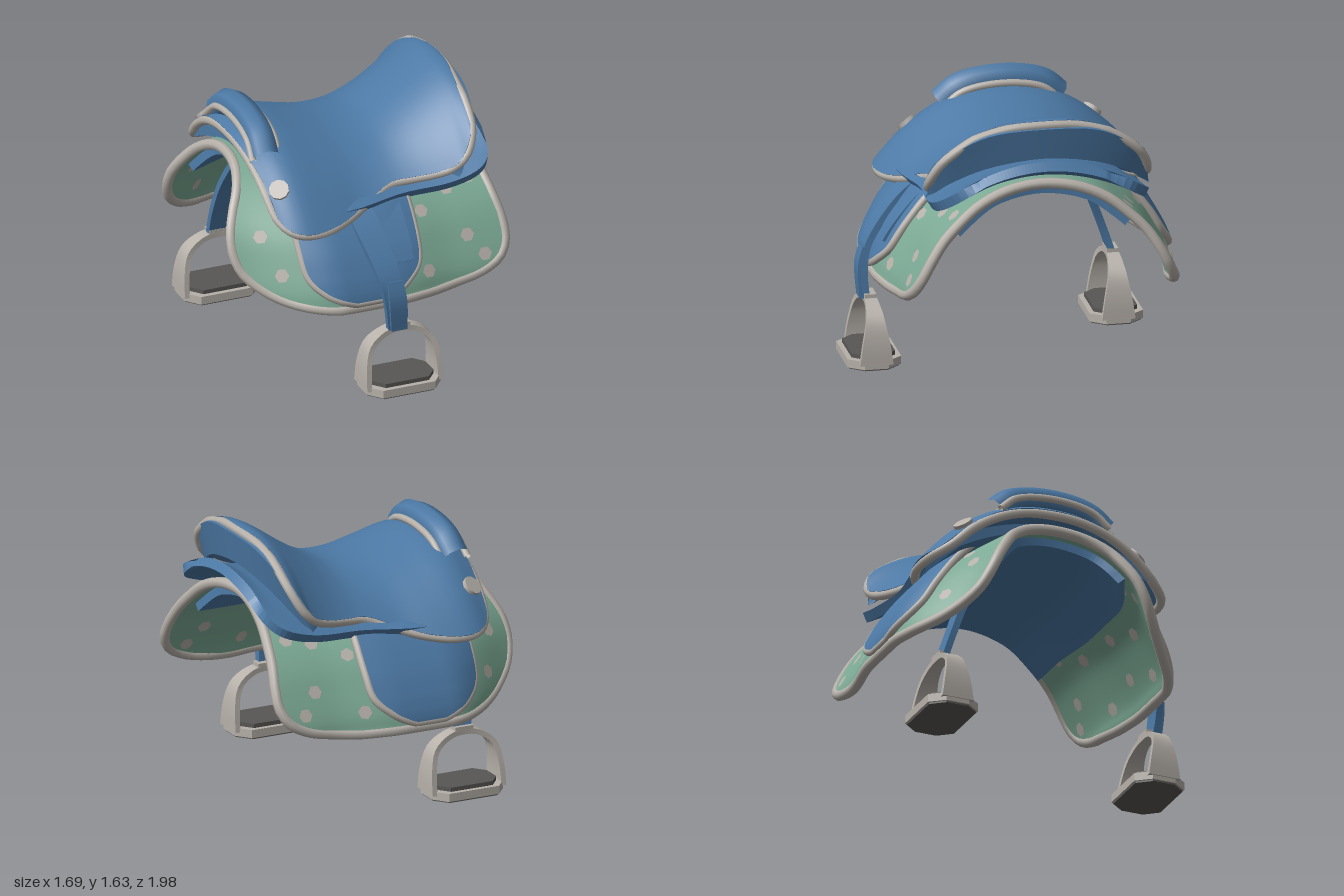
import * as THREE from 'three';

const mat = (name, color, side = THREE.FrontSide) => {
  const m = new THREE.MeshStandardMaterial({ color, side });
  m.name = name;
  return m;
};

// Smooth interpolation through rows of numbers, t in 0..1
function spline(rows) {
  return (t) => {
    const n = rows.length - 1, f = Math.min(Math.max(t, 0), 1) * n;
    const i = Math.min(Math.floor(f), n - 1), k = f - i;
    const a = rows[Math.max(i - 1, 0)], b = rows[i], c = rows[i + 1], d = rows[Math.min(i + 2, n)];
    return b.map((_, j) => {
      const m0 = (c[j] - a[j]) / 2, m1 = (d[j] - b[j]) / 2, e = c[j] - b[j];
      return b[j] + k * m0 + k * k * (3 * e - 2 * m0 - m1) + k * k * k * (m0 + m1 - 2 * e);
    });
  };
}

// Rows whose first entry is z, mirrored across z = 0
const mirrored = (rows) => [...rows.slice(1).reverse().map(([z, ...r]) => [-z, ...r]), ...rows];
const V = (x, y, z) => new THREE.Vector3(x, y, z);
const { lerp, smoothstep } = THREE.MathUtils;

function normalAt(fn, u, v) {
  const e = 0.004, c = (t) => Math.min(Math.max(t, 0), 1);
  const du = fn(c(u + e), v).sub(fn(c(u - e), v)), dv = fn(u, c(v + e)).sub(fn(u, c(v - e)));
  return dv.cross(du).normalize();
}
const offset = (fn, d) => (u, v) => fn(u, v).addScaledVector(normalAt(fn, u, v), d);

// Grid corners walked around the edge of a patch
function perimeter(nu, nv) {
  const p = [];
  for (let j = 0; j < nv; j++) p.push([0, j / nv]);
  for (let i = 0; i < nu; i++) p.push([i / nu, 1]);
  for (let j = nv; j > 0; j--) p.push([1, j / nv]);
  for (let i = nu; i > 0; i--) p.push([i / nu, 0]);
  return p;
}

// Closed padded sheet over the surface fn(u, v)
function sheet(name, fn, thick, material, nu = 28, nv = 36) {
  const pos = [], idx = [], top = offset(fn, thick);
  const add = (p) => pos.push(p.x, p.y, p.z) / 3 - 1;
  [top, fn].forEach((f, layer) => {
    const start = pos.length / 3;
    for (let i = 0; i <= nu; i++) for (let j = 0; j <= nv; j++) add(f(i / nu, j / nv));
    for (let i = 0; i < nu; i++) for (let j = 0; j < nv; j++) {
      const a = start + i * (nv + 1) + j, b = a + 1, c = a + nv + 1, d = c + 1;
      idx.push(...(layer ? [a, c, b, b, c, d] : [a, b, c, b, d, c]));
    }
  });
  const edge = perimeter(nu, nv);
  edge.forEach((p, i) => {
    const q = edge[(i + 1) % edge.length];
    const a = add(top(...p)), b = add(fn(...p)), c = add(fn(...q)), d = add(top(...q));
    idx.push(a, b, c, a, c, d);
  });
  const g = new THREE.BufferGeometry();
  g.setAttribute('position', new THREE.Float32BufferAttribute(pos, 3));
  g.setIndex(idx);
  g.computeVertexNormals();
  return named(name, g, material);
}

function named(name, geometry, material) {
  const m = new THREE.Mesh(geometry, material);
  m.name = name;
  return m;
}

const tube = (name, pts, r, material, closed = false) =>
  named(name, new THREE.TubeGeometry(new THREE.CatmullRomCurve3(pts, closed), closed ? 140 : 32, r, 8, closed), material);
const rim = (name, fn, d, r, material) =>
  tube(name, perimeter(12, 20).map((p) => offset(fn, d)(...p)), r, material, true);

// Lay a flat piece (facing +z) on a surface
function attach(mesh, fn, u, v, d) {
  mesh.position.copy(offset(fn, d)(u, v));
  mesh.quaternion.setFromUnitVectors(V(0, 0, 1), normalAt(fn, u, v));
  return mesh;
}

// Saddle surface from rows of x, crest height, edge height, half width
function arched(rows, power) {
  const f = spline(rows);
  return (u, v) => {
    const [x, crest, edge, w] = f(u), s = 2 * v - 1;
    return V(x, lerp(crest, edge, Math.pow(Math.abs(s), power)) - 0.05, w * s);
  };
}

// Hanging surface from rows of z, y, x start, x end; narrower towards both ends
function hanging(rows) {
  const f = spline(rows);
  return (u, v) => {
    const [z, y, x0, x1] = f(v), x = lerp(x0, x1, u);
    return V(x, y, z * (1 - 0.37 * smoothstep(-x, 0.25, 0.95) - 0.07 * smoothstep(x, 0.05, 0.5)));
  };
}

export function createModel() {
  const blue = mat('blue leather', 0x4c79a5), green = mat('green blanket', 0x7caa95);
  const grey = mat('grey trim', 0xb7b1aa, THREE.DoubleSide), dark = mat('dark tread', 0x595755);
  const model = new THREE.Group();
  const saddle = new THREE.Group();
  saddle.name = 'saddle';
  saddle.position.z = -0.095;
  model.add(saddle);

  // Blanket with trim, dots and inner lining
  const blanket = hanging(mirrored([
    [0, 1.24, -0.65, 0.71], [0.3, 1.19, -0.68, 0.73], [0.51, 1.06, -0.76, 0.76], [0.66, 0.92, -0.81, 0.79],
    [0.76, 0.76, -0.79, 0.81], [0.82, 0.64, -0.67, 0.74], [0.84, 0.57, -0.5, 0.55], [0.85, 0.54, -0.3, 0.3]]));
  saddle.add(sheet('blanket', blanket, 0.04, green, 28, 56), rim('blanketTrim', blanket, 0.02, 0.032, grey));
  const dots = [[0.83, 0.33], [0.7, 0.4], [0.85, 0.54], [0.67, 0.69], [0.1, 0.42], [0.16, 0.32],
    [0.13, 0.6], [0.93, 0.3], [0.92, 0.66], [0.35, 0.45], [0.5, 0.6], [0.5, 0.4], [0.32, 0.68]];
  for (const [u, t] of dots) for (const side of [1, -1]) for (const d of [0.046, -0.006]) {
    const dot = named('blanketDot', new THREE.CircleGeometry(0.043, 6), grey);
    saddle.add(attach(dot, blanket, u, 0.5 + side * t / 2, d));
  }
  const lining = (u, v) => offset(blanket, -0.06)(0.04 + 0.92 * u, 0.5 + (v - 0.5) * 0.34);
  saddle.add(sheet('lining', lining, 0.05, blue));

  // Skirt under the seat
  const skirt = arched([[-0.6, 1.3, 1.12, 0.6], [-0.2, 1.3, 1.09, 0.66], [0.2, 1.3, 1.11, 0.6], [0.5, 1.32, 1.13, 0.62],
    [0.7, 1.36, 1.18, 0.61], [0.79, 1.4, 1.25, 0.52], [0.82, 1.42, 1.35, 0.36]], 2);
  saddle.add(sheet('skirt', skirt, 0.06, blue));

  // Seat with trim and round studs
  const seat = arched([[-0.62, 1.4, 1.22, 0.52], [-0.57, 1.43, 1.1, 0.65], [-0.45, 1.46, 1.05, 0.74], [-0.25, 1.41, 1.06, 0.71],
    [-0.05, 1.37, 1.11, 0.62], [0.15, 1.37, 1.18, 0.55], [0.3, 1.42, 1.2, 0.57], [0.45, 1.51, 1.23, 0.61],
    [0.58, 1.6, 1.29, 0.64], [0.66, 1.645, 1.42, 0.6], [0.7, 1.645, 1.59, 0.4]], 2.3);
  saddle.add(sheet('seat', seat, 0.05, blue, 40, 40), rim('seatTrim', seat, 0.02, 0.028, grey));
  for (const side of [1, -1]) {
    const stud = named('stud', new THREE.CylinderGeometry(0.06, 0.06, 0.03, 10).rotateX(Math.PI / 2), grey);
    saddle.add(attach(stud, seat, 0.14, 0.5 + side * 0.375, 0.055));
  }

  // Back of the cantle: rows of z, top x, top y, bottom x, bottom y
  const back = spline(mirrored([[0, 0.69, 1.61, 0.66, 1.42], [0.3, 0.68, 1.59, 0.64, 1.38], [0.5, 0.65, 1.5, 0.6, 1.3],
    [0.6, 0.6, 1.38, 0.55, 1.22], [0.64, 0.55, 1.27, 0.51, 1.18]]));
  const cantle = (u, v) => {
    const [z, x0, y0, x1, y1] = back(v);
    return V(lerp(x0, x1, u), lerp(y0, y1, u), z);
  };
  saddle.add(sheet('cantleBack', cantle, 0.05, blue, 8, 36));

  // Pommel roll and piping
  const arch = (dx, dy) => [[-0.55, 1.36, -0.35], [-0.54, 1.45, -0.24], [-0.535, 1.49, 0], [-0.54, 1.45, 0.24], [-0.55, 1.36, 0.35]]
    .map(([x, y, z]) => V(x + dx, y + dy, z));
  saddle.add(tube('pommelRoll', arch(0, 0), 0.085, blue));
  for (const dx of [-0.08, 0.085]) saddle.add(tube('pommelPiping', arch(dx, -0.01), 0.022, grey));

  // Side flaps
  const flapRows = [[0.46, 1.18, -0.45, 0.23], [0.61, 1.04, -0.47, 0.24], [0.745, 0.87, -0.47, 0.24], [0.82, 0.74, -0.45, 0.22],
    [0.855, 0.66, -0.38, 0.14], [0.87, 0.61, -0.29, 0.06], [0.875, 0.58, -0.2, -0.02]];
  for (const side of [1, -1]) {
    const half = hanging(side > 0 ? flapRows : flapRows.map(([z, ...r]) => [-z, ...r]).reverse());
    saddle.add(sheet('flap', half, 0.035, blue), rim('flapTrim', half, 0.014, 0.024, grey));
  }

  // Stirrup straps and billet: rows of centre x, half width, z, y
  const strap = (name, rows) => {
    const f = spline(rows);
    model.add(sheet(name, (u, v) => {
      const [x, w, z, y] = f(v);
      return V(x + w * (2 * u - 1), y, z);
    }, 0.04, blue, 4, 24));
  };
  strap('billet', [[0.1, 0.08, 0.38, 1.13], [0.1, 0.08, 0.52, 1.02], [0.11, 0.075, 0.65, 0.87], [0.12, 0.06, 0.72, 0.76]]);
  strap('frontStrap', [[-0.09, 0.08, 0.45, 1.08], [-0.06, 0.08, 0.62, 0.95], [-0.01, 0.07, 0.78, 0.74],
    [0.02, 0.065, 0.82, 0.58], [0.04, 0.06, 0.81, 0.4]]);
  strap('frontStrapLoop', [[0.02, 0.05, 0.81, 0.7], [0.03, 0.055, 0.84, 0.58], [0.04, 0.05, 0.83, 0.4]]);
  strap('backStrap', [[-0.4, 0.07, -0.5, 0.96], [-0.42, 0.065, -0.62, 0.78], [-0.44, 0.06, -0.7, 0.58], [-0.44, 0.06, -0.76, 0.4]]);

  // Stirrups: bent band, foot plate and tread; band rows are x, y, half depth
  const band = spline([[-0.21, 0.05, 0.1], [-0.205, 0.18, 0.08], [-0.175, 0.3, 0.055], [-0.09, 0.365, 0.04], [0, 0.38, 0.035],
    [0.09, 0.365, 0.04], [0.175, 0.3, 0.055], [0.205, 0.18, 0.08], [0.21, 0.05, 0.1]]);
  const plate = (name, w, d, y, h, material) => {
    const s = new THREE.Shape([[-w, -d * 0.45], [-w * 0.7, -d], [w * 0.7, -d], [w, -d * 0.45], [w, d * 0.45], [w * 0.7, d],
      [-w * 0.7, d], [-w, d * 0.45]].map(([a, b]) => new THREE.Vector2(a, b)));
    const g = new THREE.ExtrudeGeometry(s, { depth: h, bevelEnabled: false }).rotateX(-Math.PI / 2).translate(0, y, 0);
    return named(name, g, material);
  };
  for (const [name, x, z] of [['frontStirrup', 0.06, 0.81], ['backStirrup', -0.44, -0.74]]) {
    const stirrup = new THREE.Group();
    stirrup.name = name;
    stirrup.position.set(x, 0, z);
    stirrup.add(sheet('stirrupBand', (u, v) => {
      const [bx, by, d] = band(u);
      return V(bx, by, d * (2 * v - 1));
    }, 0.032, grey, 32, 2));
    stirrup.add(plate('footPlate', 0.235, 0.16, 0.025, 0.05, grey));
    stirrup.add(plate('sole', 0.225, 0.15, 0.015, 0.01, dark));
    stirrup.add(plate('tread', 0.195, 0.13, 0.075, 0.025, dark));
    const eye = named('stirrupEye', new THREE.BoxGeometry(0.12, 0.04, 0.07), grey);
    eye.position.y = 0.41;
    stirrup.add(eye);
    model.add(stirrup);
  }
  return model;
}
